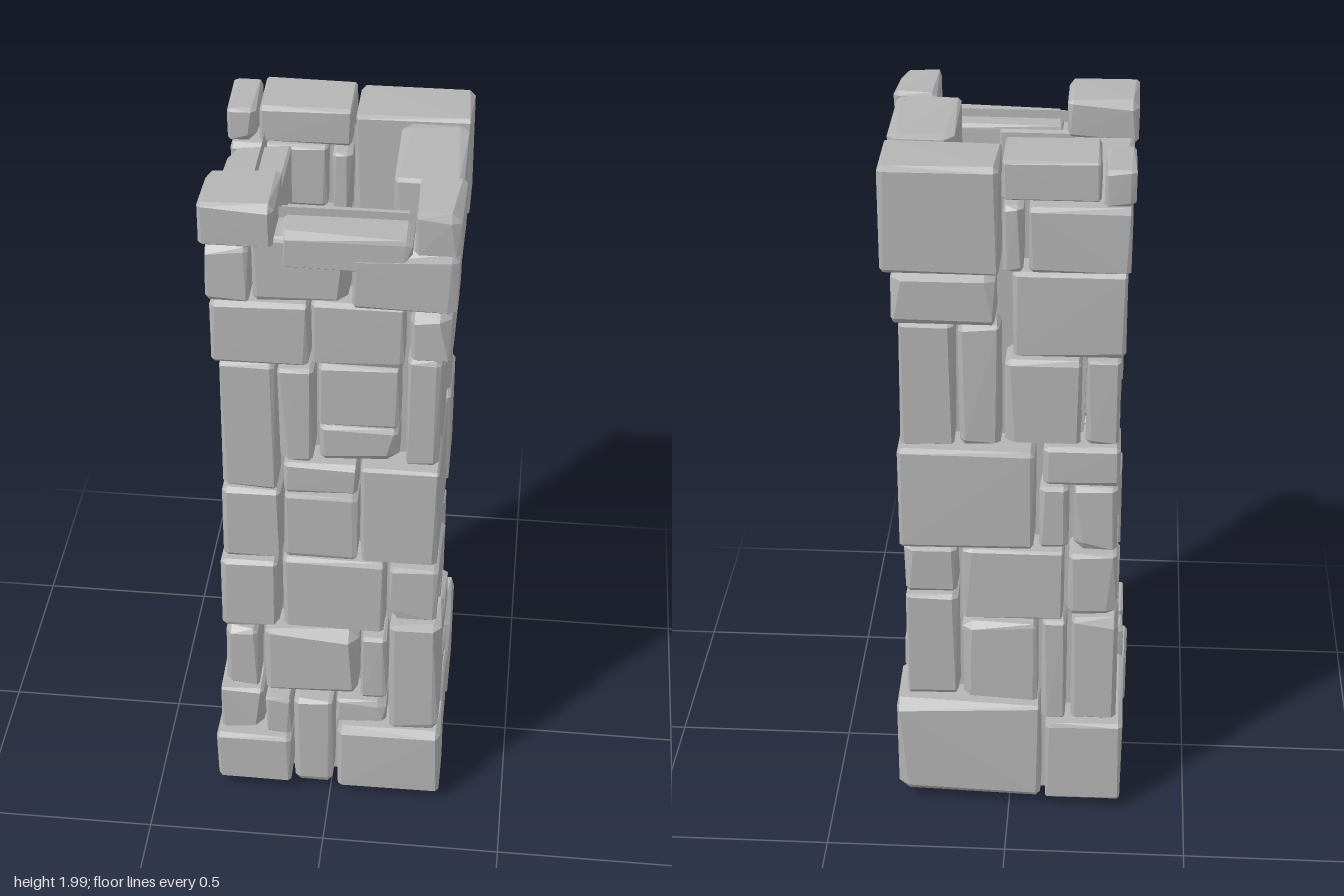
import * as THREE from 'three';
import { ConvexGeometry } from 'three/addons/geometries/ConvexGeometry.js';

// seeded random numbers for the rough-hewn corners
let seed = 7;
const rnd = () => {
  seed = (seed * 16807) % 2147483647;
  return seed / 2147483647;
};

// a block whose eight corners are cut back by uneven amounts
function stoneGeometry(x0, x1, y0, y1, z0, z1) {
  const lo = [x0, y0, z0], hi = [x1, y1, z1];
  const small = Math.min(x1 - x0, y1 - y0, z1 - z0);
  const points = [];
  for (let c = 0; c < 8; c++) {
    const high = [c & 1, c & 2, c & 4];
    const big = rnd() < 0.2 ? 0.028 : 0.01;
    const cut = [0, 1, 2].map(() => Math.min(0.007 + big * rnd(), small * 0.3));
    for (let keep = 0; keep < 3; keep++) {
      points.push(new THREE.Vector3(...[0, 1, 2].map((i) => {
        const inset = i === keep ? 0.004 * rnd() : cut[i];
        return high[i] ? hi[i] - inset : lo[i] + inset;
      })));
    }
  }
  return new ConvexGeometry(points);
}

// the tower is slightly waisted
const halfWidth = (y) => 0.288 + 0.036 * (y - 1) ** 2;
const THICK = 0.175;

// corner stones: x0, x1, y0, y1, z0, z1
const frontLeftCorner = [
  [0.02, 0.32, 0.03, 0.265, 0.16, 0.325],
  [0.165, 0.31, 0.27, 0.66, 0.155, 0.31],
  [0.16, 0.295, 0.67, 0.855, 0.06, 0.295],
  [0.08, 0.29, 0.86, 1.18, -0.07, 0.285],
  [0.195, 0.285, 1.2, 1.535, 0.155, 0.285],
  [0.2, 0.305, 1.54, 1.685, 0.13, 0.3],
  [0.055, 0.32, 1.69, 1.865, 0.165, 0.31],
  [0.21, 0.325, 1.865, 1.99, 0.14, 0.325],
];
const frontRightCorner = [
  [-0.33, -0.11, 0.03, 0.21, 0.16, 0.325],
  [-0.315, -0.19, 0.215, 0.38, 0.15, 0.31],
  [-0.295, -0.2, 0.385, 0.6, 0.15, 0.3],
  [-0.3, -0.14, 0.61, 0.85, 0.14, 0.3],
  [-0.29, -0.13, 0.86, 1.09, 0.13, 0.29],
  [-0.285, -0.14, 1.095, 1.5, 0.14, 0.29],
  [-0.3, -0.05, 1.505, 1.69, 0.14, 0.3],
  [-0.31, -0.195, 1.695, 1.855, 0.13, 0.31],
  [-0.32, -0.13, 1.86, 1.98, 0.13, 0.32],
];
const backLeftCorner = [
  [-0.09, 0.32, 0.03, 0.35, -0.305, -0.08],
  [0.14, 0.285, 0.365, 0.7, -0.28, -0.19],
  [0.14, 0.285, 0.71, 0.855, -0.285, -0.185],
  [-0.07, 0.295, 0.865, 1.17, -0.3, -0.08],
  [0.14, 0.285, 1.175, 1.535, -0.29, -0.145],
  [0.03, 0.3, 1.54, 1.68, -0.31, -0.175],
  [0.02, 0.32, 1.69, 1.98, -0.33, -0.15],
];
const backRightCorner = [
  [-0.32, -0.1, 0.03, 0.3, -0.31, 0.05],
  [-0.3, -0.17, 0.31, 0.65, -0.3, -0.16],
  [-0.295, -0.16, 0.66, 0.855, -0.295, -0.05],
  [-0.29, -0.17, 0.865, 1.06, -0.29, -0.14],
  [-0.295, -0.09, 1.065, 1.18, -0.29, -0.14],
  [-0.29, -0.2, 1.19, 1.44, -0.29, -0.15],
  [-0.3, -0.01, 1.45, 1.69, -0.3, -0.14],
  [-0.31, -0.05, 1.695, 1.875, -0.32, -0.16],
  [-0.315, -0.235, 1.88, 1.98, -0.33, -0.155],
];

// wall stones: start and end along the wall (x or z), bottom, top
const frontWall = [
  [-0.105, 0.01, 0.03, 0.355], [-0.185, -0.11, 0.215, 0.355], [0.015, 0.16, 0.275, 0.36],
  [-0.185, 0.08, 0.365, 0.6], [0.085, 0.16, 0.37, 0.595], [-0.13, 0.15, 0.61, 0.86],
  [-0.125, 0.075, 0.87, 1.08], [-0.125, 0.075, 1.085, 1.185], [-0.135, -0.04, 1.195, 1.49],
  [-0.03, 0.18, 1.2, 1.31], [-0.03, 0.18, 1.32, 1.51], [-0.045, 0.19, 1.515, 1.7],
  [-0.19, 0.05, 1.7, 1.89], [-0.125, 0.205, 1.8, 1.9],
];
const leftWall = [
  [-0.075, 0.15, 0.04, 0.245], [-0.07, 0.145, 0.25, 0.355], [0.05, 0.145, 0.36, 0.655],
  [-0.17, 0.04, 0.37, 0.48], [-0.165, 0.035, 0.485, 0.67], [-0.17, 0.055, 0.675, 0.86],
  [-0.05, 0.145, 1.19, 1.43], [-0.13, -0.065, 1.19, 1.43], [-0.14, 0.12, 1.45, 1.685],
  [-0.14, 0.155, 1.69, 1.98],
];
const backWall = [
  [-0.08, 0.13, 0.36, 0.62], [-0.16, -0.09, 0.31, 0.64], [-0.15, 0.13, 0.63, 0.855],
  [-0.16, -0.08, 0.865, 1.055], [0.02, 0.13, 1.18, 1.53], [-0.19, 0.01, 1.19, 1.44],
  [-0.04, 0.015, 1.69, 1.87], [-0.23, 0.015, 1.885, 1.995],
];
const rightWall = [
  [0.06, 0.15, 0.03, 0.37], [-0.15, 0.055, 0.31, 0.42], [-0.15, 0.14, 0.43, 0.64],
  [-0.04, 0.13, 0.65, 0.855], [-0.13, 0.12, 0.865, 1.04], [-0.13, 0.12, 1.05, 1.18],
  [-0.14, 0.0, 1.19, 1.44], [0.01, 0.13, 1.19, 1.49], [-0.13, 0.13, 1.5, 1.69],
  [-0.15, 0.12, 1.7, 1.89],
];

export function createModel() {
  seed = 7;
  const stoneGrey = new THREE.MeshStandardMaterial({ color: 0xb4b4b4, flatShading: true });
  stoneGrey.name = 'stoneGrey';
  const coreGrey = stoneGrey.clone();
  coreGrey.side = THREE.DoubleSide;
  const tower = new THREE.Group();
  tower.name = 'stoneTower';

  const addGroup = (name, boxes) => {
    const group = new THREE.Group();
    group.name = name;
    for (const box of boxes) {
      const mesh = new THREE.Mesh(stoneGeometry(...box), stoneGrey);
      mesh.name = 'stone';
      group.add(mesh);
    }
    tower.add(group);
  };

  // stacked corner stones
  addGroup('frontLeftCorner', frontLeftCorner);
  addGroup('frontRightCorner', frontRightCorner);
  addGroup('backLeftCorner', backLeftCorner);
  addGroup('backRightCorner', backRightCorner);

  // stones between the corners, following the waisted outline
  const wall = (stones, alongX, side) => stones.map(([a, b, y0, y1]) => {
    const out = halfWidth((y0 + y1) / 2) + 0.006 - 0.012 * rnd();
    const inner = out - THICK + 0.02 * rnd();
    const depth = side > 0 ? [inner, out] : [-out, -inner];
    return alongX ? [a, b, y0, y1, ...depth] : [...depth, y0, y1, a, b];
  });
  addGroup('frontWall', wall(frontWall, true, 1));
  addGroup('backWall', wall(backWall, true, -1));
  addGroup('leftWall', wall(leftWall, false, 1));
  addGroup('rightWall', wall(rightWall, false, -1));

  // thin square lining hidden between the stones
  const profile = [[0.215, 0], [0.2, 0.5], [0.19, 1], [0.2, 1.5], [0.212, 1.92]]
    .map(([w, y]) => new THREE.Vector2(w * Math.SQRT2, y));
  const core = new THREE.Mesh(new THREE.LatheGeometry(profile, 4, Math.PI / 4), coreGrey);
  core.name = 'innerLining';
  tower.add(core);

  return tower;
}
